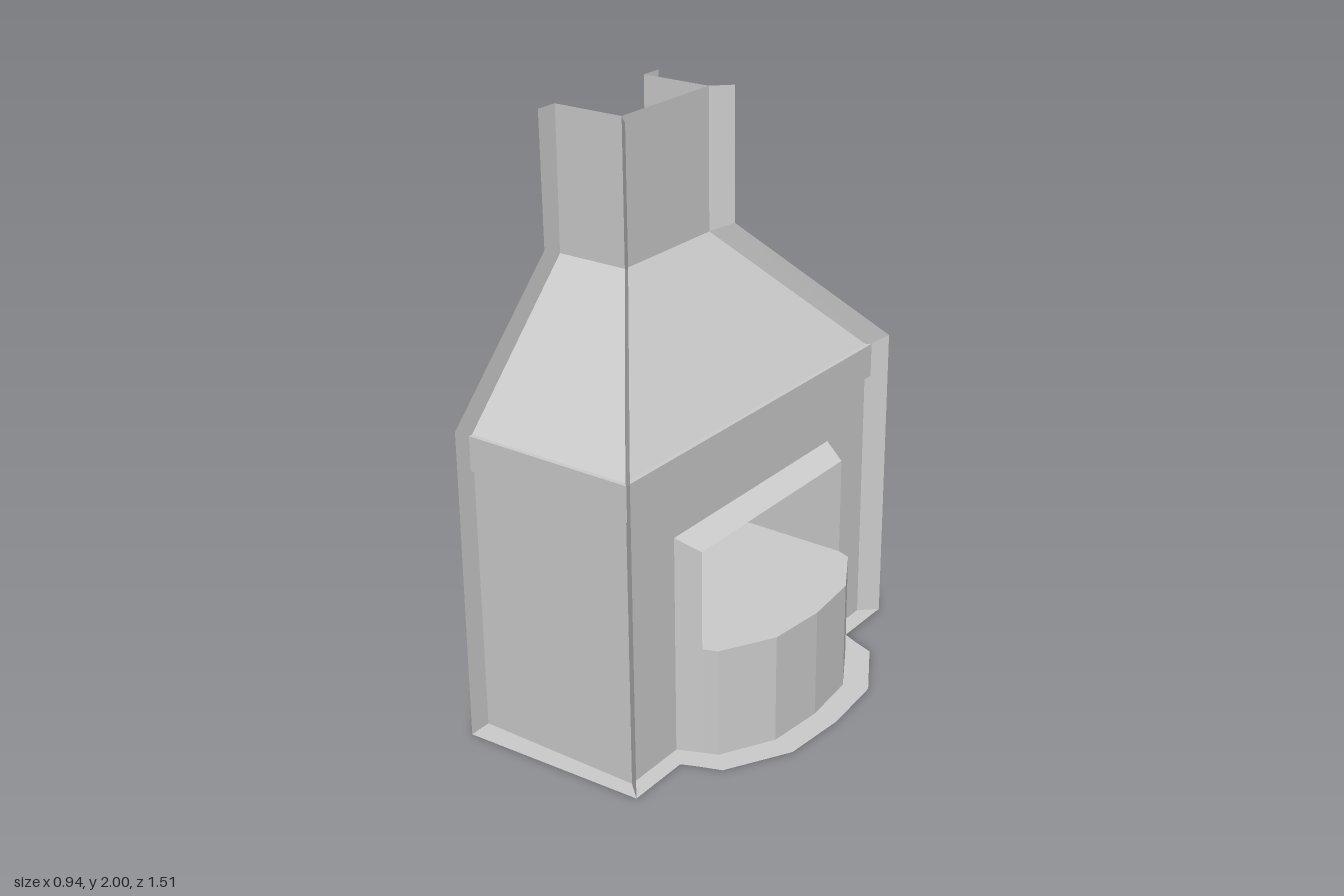
import * as THREE from 'three';

const mat = new THREE.MeshStandardMaterial({ color: 0xcccccc, flatShading: true, side: THREE.DoubleSide });

// Thin sheet of quads stretched between two matching polylines
function strip(name, a, b) {
  const pos = [];
  for (let i = 0; i < a.length - 1; i++) {
    pos.push(...a[i], ...b[i], ...b[i + 1], ...a[i], ...b[i + 1], ...a[i + 1]);
  }
  const geo = new THREE.BufferGeometry();
  geo.setAttribute('position', new THREE.Float32BufferAttribute(pos, 3));
  geo.computeVertexNormals();
  const mesh = new THREE.Mesh(geo, mat);
  mesh.name = name;
  return mesh;
}

const flipZ = path => path.map(([x, y, z]) => [x, y, -z]);
const atX = (path, nx) => path.map(([, y, z]) => [nx, y, z]);
// Half outline (z > 0 down to z = 0) completed across the centre line
const mirrored = half => [...half, ...flipZ(half).reverse().slice(1)];

export function createModel() {
  const g = new THREE.Group();
  g.name = 'fireplace';
  const backX = -0.47;

  // Corner edge running up the wall, the mantel band, the hood and the flue
  const corner = [
    [0.13, 0, 0.675], [0.13, 0.93, 0.675], [0.145, 0.93, 0.69], [0.145, 1.05, 0.69],
    [0.13, 1.05, 0.675], [-0.21, 1.515, 0.225], [-0.21, 2, 0.225],
  ];
  const upper = corner.slice(1);

  // Side panels, left and right
  g.add(strip('sideShell', corner, atX(corner, backX)));
  g.add(strip('sideShell', flipZ(corner), atX(flipZ(corner), backX)));

  // Front band, hood and flue above the wall
  g.add(strip('frontHood', upper, flipZ(upper)));

  // Front wall with the fire surround cut out
  const wall = new THREE.Shape([
    [-0.675, 0], [-0.44, 0], [-0.44, 0.77], [0.44, 0.77], [0.44, 0],
    [0.675, 0], [0.675, 0.93], [-0.675, 0.93],
  ].map(p => new THREE.Vector2(...p)));
  const wallMesh = new THREE.Mesh(new THREE.ShapeGeometry(wall), mat);
  wallMesh.name = 'frontWall';
  wallMesh.rotation.y = Math.PI / 2;
  wallMesh.position.x = 0.13;
  g.add(wallMesh);

  // Bevelled surround
  const arch = (x, z, top, bottom) => [[x, bottom, z], [x, top, z], [x, top, -z], [x, bottom, -z]];
  g.add(strip('surround', arch(0.13, 0.44, 0.77, 0), arch(0.21, 0.405, 0.73, 0)));

  // Recessed firebox: sides and ceiling, floor, back
  const hearthY = 0.385, boxX = -0.2, boxZ = 0.405;
  const mouth = arch(0.21, boxZ, 0.73, hearthY);
  g.add(strip('fireboxLining', mouth, atX(mouth, boxX)));
  g.add(strip('fireboxFloor',
    [[0.21, hearthY, boxZ], [0.21, hearthY, -boxZ]], [[boxX, hearthY, boxZ], [boxX, hearthY, -boxZ]]));
  g.add(strip('fireboxBack',
    [[boxX, hearthY, boxZ], [boxX, hearthY, -boxZ]], [[boxX, 0.73, boxZ], [boxX, 0.73, -boxZ]]));

  // Rounded hearth
  const hearth = mirrored([[0.21, 0, boxZ], [0.258, 0, 0.387], [0.36, 0, 0.208], [0.38, 0, 0]]);
  const hearthTop = hearth.map(([x, , z]) => [x, hearthY, z]);
  g.add(strip('hearthWall', hearth, hearthTop));
  g.add(strip('hearthTop', hearthTop, atX(hearthTop, 0.21)));

  // Floor flange around the whole base
  const inner = mirrored([[backX, 0, 0.675], [0.13, 0, 0.675], [0.13, 0, 0.44], [0.21, 0, boxZ],
    [0.258, 0, 0.387], [0.36, 0, 0.208], [0.38, 0, 0]]);
  const outer = mirrored([[backX, 0, 0.755], [0.19, 0, 0.73], [0.19, 0, 0.5], [0.25, 0, 0.475],
    [0.32, 0, 0.45], [0.445, 0, 0.235], [0.465, 0, 0]]);
  g.add(strip('floorFlange', inner, outer));

  // Upright flanges along the front corners and the rear edges
  const cornerRim = [
    [0.19, 0, 0.73], [0.19, 0.93, 0.73], [0.19, 0.95, 0.73], [0.19, 1.06, 0.73],
    [0.19, 1.08, 0.73], [-0.15, 1.54, 0.285], [-0.15, 2, 0.285],
  ];
  const backRim = [
    [backX, 0, 0.755], [backX, 0.93, 0.75], [backX, 0.95, 0.75], [backX, 1.06, 0.75],
    [backX, 1.085, 0.75], [backX, 1.545, 0.3], [backX, 2, 0.305],
  ];
  for (const side of [p => p, flipZ]) {
    g.add(strip('cornerFlange', side(corner), side(cornerRim)));
    g.add(strip('rearFlange', side(atX(corner, backX)), side(backRim)));
  }
  return g;
}
